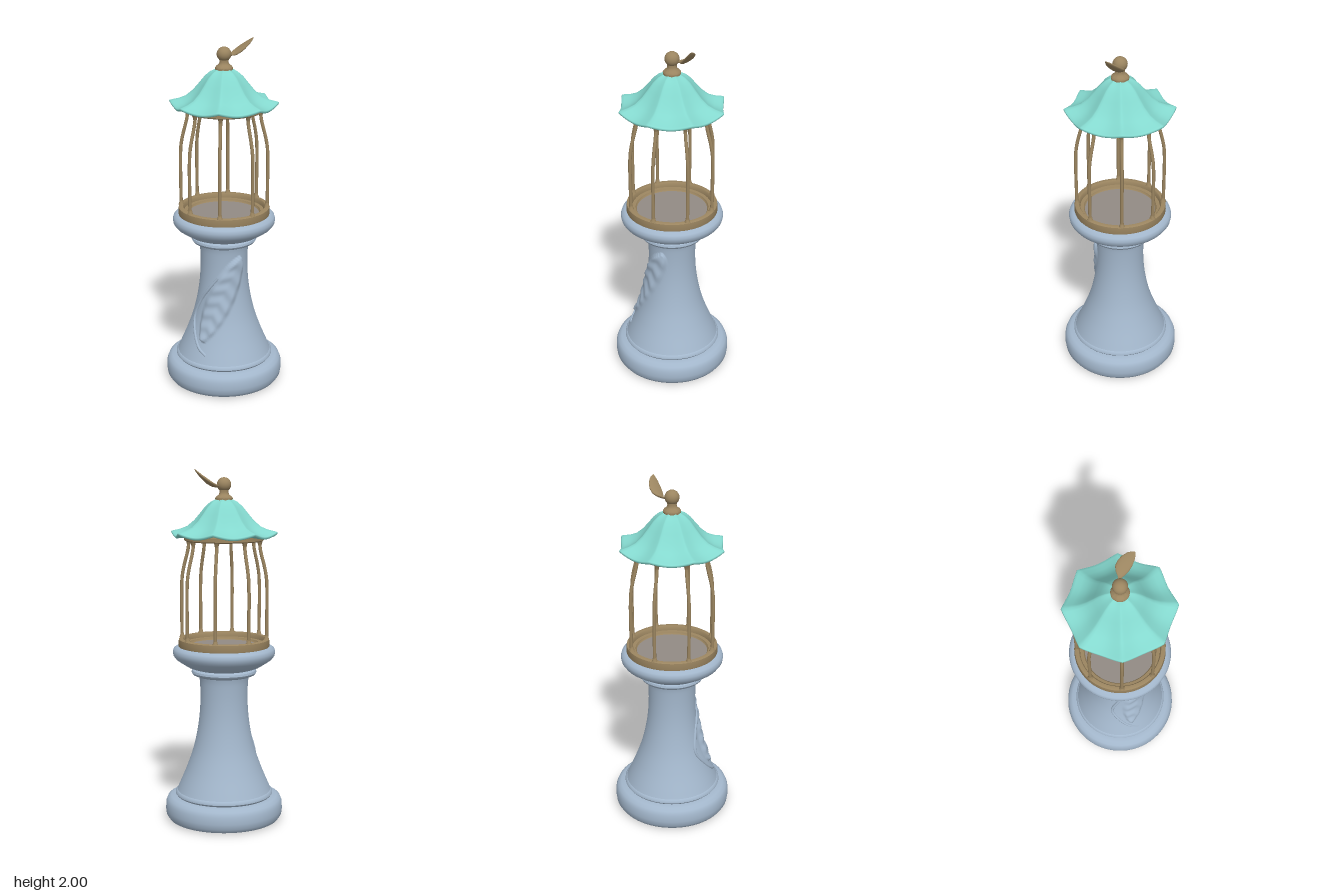
import * as THREE from 'three';
import { toCreasedNormals } from 'three/addons/utils/BufferGeometryUtils.js';

const V = (x, y, z) => new THREE.Vector3(x, y, z);
const stone = new THREE.MeshStandardMaterial({ name: 'blue grey stone', color: 0xa3b7cc });
const bronze = new THREE.MeshStandardMaterial({ name: 'bronze', color: 0x9b8560 });
const teal = new THREE.MeshStandardMaterial({ name: 'teal roof', color: 0x84d8ce });
const taupe = new THREE.MeshStandardMaterial({ name: 'taupe floor', color: 0x928b84 });

function part(parent, name, geometry, material) {
  const mesh = new THREE.Mesh(geometry, material);
  mesh.name = name;
  parent.add(mesh);
  return mesh;
}

// Turned shape from [radius, height] pairs, listed bottom to top
function turned(profile, segments = 64, crease = 0.7) {
  const points = profile.map(([r, y]) => new THREE.Vector2(r, y));
  return toCreasedNormals(new THREE.LatheGeometry(points, segments), crease);
}

// Smooth skin over rows of closed loops; point(i, j) gives each corner
function loft(rows, cols, point) {
  const positions = [], index = [];
  for (let i = 0; i < rows; i++) {
    for (let j = 0; j < cols; j++) positions.push(...point(i, j).toArray());
  }
  for (let i = 0; i < rows - 1; i++) {
    for (let j = 0; j < cols; j++) {
      const k = (j + 1) % cols;
      const a = i * cols + j, c = i * cols + k, b = a + cols, d = c + cols;
      index.push(a, c, b, c, d, b);
    }
  }
  const g = new THREE.BufferGeometry();
  g.setAttribute('position', new THREE.Float32BufferAttribute(positions, 3));
  g.setIndex(index);
  g.computeVertexNormals();
  return g;
}

// Column radius by height
const columnCurve = new THREE.SplineCurve([
  [0.145, 0.85], [0.137, 0.8], [0.135, 0.7], [0.141, 0.6], [0.156, 0.5],
  [0.18, 0.4], [0.215, 0.3], [0.257, 0.2], [0.272, 0.165],
].map(([r, y]) => new THREE.Vector2(r, y)));

// Height of the carved feather above the column at x, y on the front
function featherRelief(x, y) {
  const ax = -0.11, ay = 0.29, dx = 0.21, dy = 0.49, len = Math.hypot(dx, dy);
  const t = ((x - ax) * dx + (y - ay) * dy) / (len * len);
  if (t <= 0 || t >= 1) return 0;
  const side = ((x - ax) * dy - (y - ay) * dx) / len;
  const half = 0.078 * Math.pow(Math.sin(Math.PI * t), 0.6);
  const e = Math.abs(side) / half;
  if (e >= 1) return 0;
  const barbs = 0.003 * Math.sin(t * 42 + Math.abs(side) * 55);
  return Math.min(1, (1 - e) * 3) * (0.016 + barbs);
}

function buildPedestal() {
  const g = new THREE.Group();
  g.name = 'pedestal';
  part(g, 'base', turned([
    [0, 0], [0.29, 0], [0.318, 0.008], [0.333, 0.03], [0.337, 0.06], [0.335, 0.1],
    [0.325, 0.125], [0.305, 0.138], [0.27, 0.142], [0, 0.142],
  ]), stone);
  part(g, 'columnFoot', turned([
    [0.25, 0.138], [0.272, 0.142], [0.28, 0.152], [0.279, 0.162], [0.27, 0.172], [0.25, 0.18],
  ]), stone);
  const rows = 90, cols = 144;
  part(g, 'column', loft(rows, cols, (i, j) => {
    const p = columnCurve.getPoint(i / (rows - 1));
    const a = j / cols * Math.PI * 2;
    const lift = Math.sin(a) > 0 ? featherRelief(p.x * Math.cos(a), p.y) : 0;
    return V((p.x + lift) * Math.cos(a), p.y, (p.x + lift) * Math.sin(a));
  }), stone);

  // Raised quill that follows the surface of the column
  const quill = [[-0.085, 0.22], [-0.125, 0.25], [-0.155, 0.32], [-0.16, 0.4], [-0.125, 0.5], [-0.08, 0.58], [-0.02, 0.66]];
  const path = new THREE.CatmullRomCurve3(quill.map(([x, y]) => {
    let r = 0.2;
    for (let k = 0; k <= 200; k++) {
      const p = columnCurve.getPoint(k / 200);
      if (p.y >= y) r = p.x;
    }
    r += 0.5 * featherRelief(x, y);
    return V(x, y, Math.sqrt(r * r - x * x));
  }));
  part(g, 'featherQuill', new THREE.TubeGeometry(path, 50, 0.009, 8), stone);

  part(g, 'collar', turned([
    [0.13, 0.835], [0.16, 0.84], [0.178, 0.848], [0.185, 0.86], [0.182, 0.872], [0.168, 0.88], [0.12, 0.884],
  ]), stone);
  part(g, 'bowl', turned([
    [0.12, 0.876], [0.165, 0.88], [0.205, 0.893], [0.24, 0.915], [0.272, 0.937], [0.287, 0.957],
    [0.291, 0.978], [0.285, 0.997], [0.268, 1.008], [0.24, 1.01],
  ]), stone);
  return g;
}

function buildCage() {
  const g = new THREE.Group();
  g.name = 'cage';
  part(g, 'floor', turned([[0.235, 1.0], [0.23, 1.012], [0, 1.012]]), taupe);
  part(g, 'lowerRing', turned([
    [0.19, 1.005], [0.256, 1.005], [0.259, 1.015], [0.256, 1.05], [0.25, 1.054], [0.233, 1.054],
    [0.228, 1.048], [0.226, 1.026], [0.206, 1.024], [0.202, 1.014], [0.19, 1.005],
  ]), bronze);
  part(g, 'upperRing', turned([
    [0.185, 1.604], [0.213, 1.602], [0.222, 1.608], [0.222, 1.63], [0.185, 1.64], [0.185, 1.604],
  ]), bronze);
  part(g, 'ceiling', new THREE.CircleGeometry(0.19, 48).rotateX(Math.PI / 2).translate(0, 1.622, 0), taupe);

  // Eight bent bars with flared ends
  const path = new THREE.CatmullRomCurve3([
    V(0.244, 1.04, 0), V(0.245, 1.2, 0), V(0.245, 1.32, 0), V(0.241, 1.4, 0),
    V(0.229, 1.465, 0), V(0.212, 1.53, 0), V(0.204, 1.57, 0), V(0.203, 1.615, 0),
  ]);
  const barShape = new THREE.TubeGeometry(path, 40, 0.0095, 10);
  const flareShape = turned([[0.017, 0], [0.013, 0.008], [0.0095, 0.025]], 12);
  for (let k = 0; k < 8; k++) {
    const bar = new THREE.Group();
    bar.name = 'bar' + (k + 1);
    part(bar, 'rod', barShape, bronze);
    part(bar, 'lowerFlare', flareShape, bronze).position.set(0.243, 1.052, 0);
    const top = part(bar, 'upperFlare', flareShape, bronze);
    top.position.set(0.203, 1.604, 0);
    top.rotation.x = Math.PI;
    bar.rotation.y = k * Math.PI / 4;
    g.add(bar);
  }
  return g;
}

function buildRoof() {
  // Rib profile from the peak, around the eave and back underneath
  const rib = [
    [0.001, 1.838], [0.045, 1.834], [0.075, 1.82], [0.105, 1.795], [0.135, 1.758], [0.17, 1.717], [0.21, 1.684],
    [0.25, 1.668], [0.285, 1.66], [0.3, 1.656], [0.303, 1.65], [0.297, 1.642], [0.26, 1.642], [0.215, 1.64], [0.17, 1.64],
  ];
  const cols = 96;
  return loft(rib.length, cols, (i, j) => {
    const [r0, y0] = rib[i];
    const a = j / cols * Math.PI * 2;
    // sag is 0 on a rib and 1 midway between two ribs
    const sag = Math.sin(Math.PI / 2 * (1 - Math.abs((j % 12) / 6 - 1)));
    const t = r0 / 0.3;
    const r = r0 * (1 - 0.09 * sag * Math.min(1, t * 1.3));
    return V(r * Math.cos(a), y0 - 0.022 * sag * t, r * Math.sin(a));
  });
}

function buildFinial() {
  const g = new THREE.Group();
  g.name = 'finial';
  part(g, 'finialBase', turned([
    [0.04, 1.822], [0.048, 1.828], [0.049, 1.84], [0.042, 1.85], [0.03, 1.858], [0.025, 1.87], [0.026, 1.885],
  ], 32), bronze);
  part(g, 'finialBall', new THREE.SphereGeometry(0.04, 32, 20), bronze).position.y = 1.914;
  // Leaf stations: x, y, z, half width, half thickness
  const leaf = [
    [0.015, 1.905, -0.02, 0.006, 0.006], [0.032, 1.906, -0.035, 0.009, 0.007], [0.045, 1.911, -0.05, 0.022, 0.009],
    [0.06, 1.918, -0.056, 0.032, 0.011], [0.085, 1.934, -0.057, 0.037, 0.012], [0.11, 1.953, -0.055, 0.034, 0.01],
    [0.135, 1.975, -0.051, 0.024, 0.007], [0.15, 1.99, -0.047, 0.012, 0.004], [0.157, 1.999, -0.044, 0.001, 0.001],
  ];
  part(g, 'finialLeaf', loft(leaf.length, 16, (i, j) => {
    const [x, y, z, w, h] = leaf[i];
    const c = Math.cos(j / 16 * Math.PI * 2) * w, s = Math.sin(j / 16 * Math.PI * 2) * h;
    return V(x - 0.3 * s, y + 0.35 * c + s, z - c);
  }), bronze);
  return g;
}

export function createModel() {
  const model = new THREE.Group();
  model.name = 'birdcageLantern';
  model.add(buildPedestal(), buildCage(), buildFinial());
  part(model, 'roof', buildRoof(), teal);
  return model;
}
